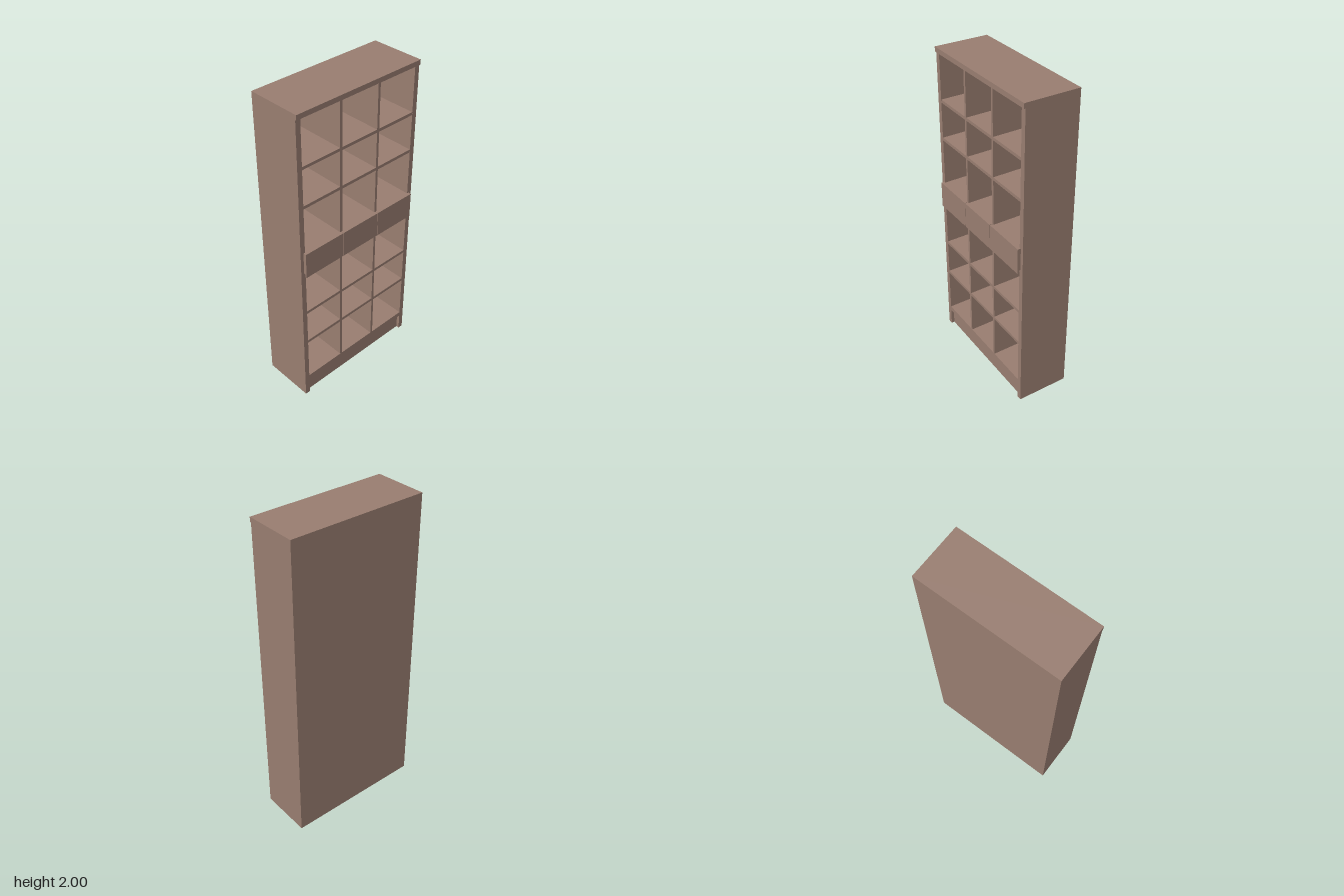
import * as THREE from 'three';

export function createModel() {
  const model = new THREE.Group();
  model.name = 'bookcase';
  const wood = new THREE.MeshStandardMaterial({ color: 0x987d70 });
  wood.name = 'brown wood';

  // Box given by its limits on each axis
  function board(name, x0, x1, y0, y1, z0, z1, parent = model) {
    const mesh = new THREE.Mesh(new THREE.BoxGeometry(x1 - x0, y1 - y0, z1 - z0), wood);
    mesh.position.set((x0 + x1) / 2, (y0 + y1) / 2, (z0 + z1) / 2);
    mesh.name = name;
    parent.add(mesh);
  }

  const W = 0.444, IN = 0.412, BACK = -0.177, WALL = -0.157, FRONT = 0.157;

  // Carcass
  board('topBoard', -W, W, 1.97, 2, BACK, 0.165);
  board('leftSide', IN, W, 0, 1.97, BACK, FRONT);
  board('rightSide', -W, -IN, 0, 1.97, BACK, FRONT);
  board('backPanel', -IN, IN, 0, 1.97, BACK, WALL);
  board('plinth', -IN, IN, 0, 0.116, WALL, 0.137);
  board('bottomShelf', -IN, IN, 0.116, 0.147, WALL, FRONT);

  // Shelves, listed by the height of their upper face
  const shelfTops = [0.454, 0.692, 0.99, 1.134, 1.444, 1.689];
  for (const top of shelfTops) board('shelf', -IN, IN, top - 0.019, top, WALL, FRONT - 0.0005);

  // Upright dividers, cut between the shelves
  const floors = [0.147, ...shelfTops];
  const ceilings = [...shelfTops.map((t) => t - 0.019), 1.97];
  for (const x of [-0.138, 0.138]) {
    floors.forEach((y, i) => board('divider', x - 0.008, x + 0.008, y, ceilings[i], WALL, FRONT - 0.0005));
  }

  // Drawer fronts with a finger lip along the lower edge
  for (const [x0, x1] of [[-0.423, -0.1395], [-0.1365, 0.1365], [0.1395, 0.423]]) {
    const profile = new THREE.Shape();
    profile.moveTo(-0.157, 0.99);
    profile.lineTo(-0.167, 0.99);
    profile.lineTo(-0.167, 0.97);
    profile.lineTo(-0.177, 0.97);
    profile.lineTo(-0.177, 1.135);
    profile.lineTo(-0.157, 1.135);
    const geometry = new THREE.ExtrudeGeometry(profile, { depth: x1 - x0, bevelEnabled: false });
    geometry.rotateY(Math.PI / 2);
    const front = new THREE.Mesh(geometry, wood);
    front.position.x = x0;
    front.name = 'drawerFront';
    model.add(front);
  }

  return model;
}
